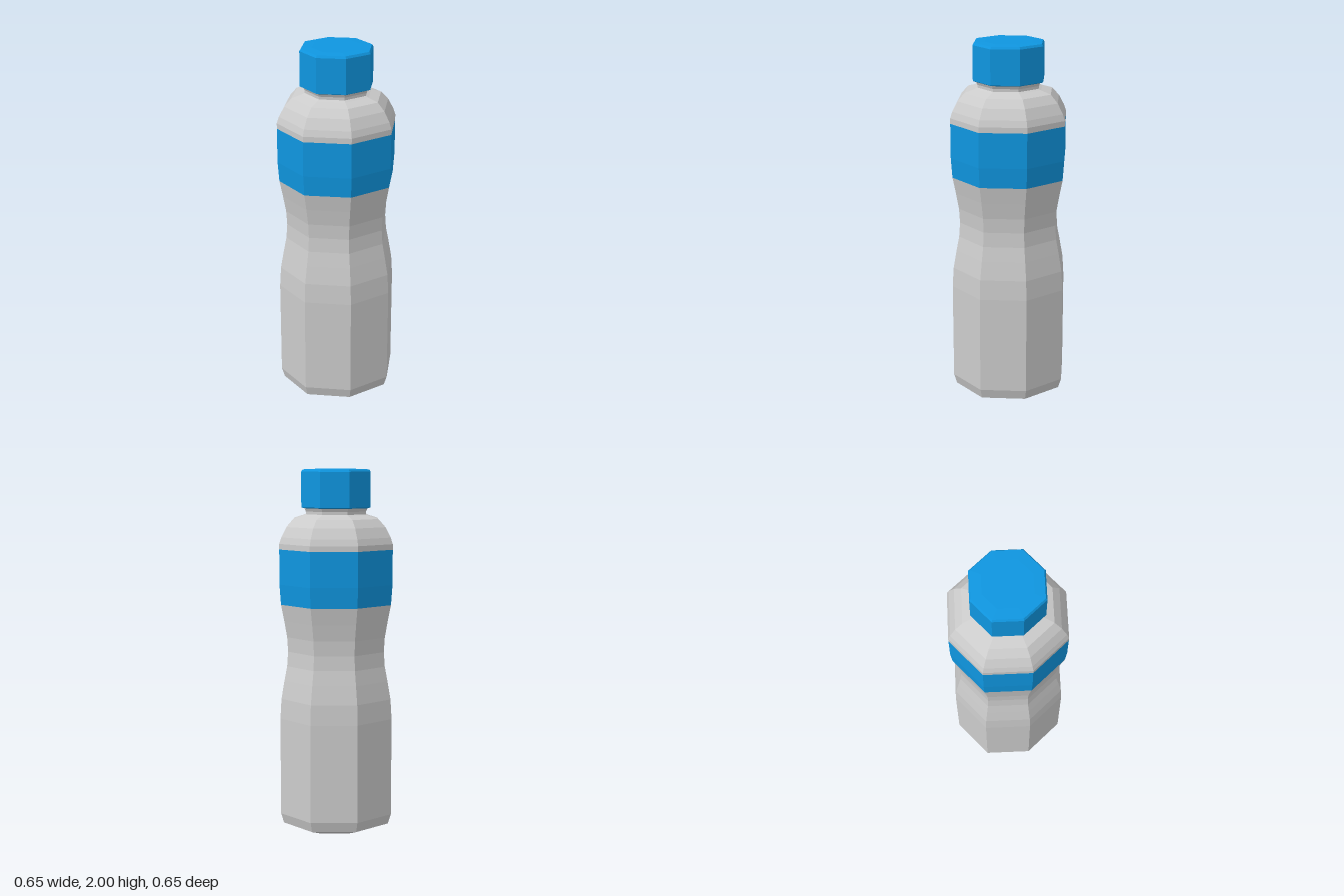
import * as THREE from 'three';

const SIDES = 8;

// Eight-sided turned part from [radius, y] points running bottom to top.
// Corners between the axes sit slightly further out than those on the axes.
function turned(name, profile, color) {
  const points = profile.map(([r, y]) => new THREE.Vector2(r, y));
  const geometry = new THREE.LatheGeometry(points, SIDES).toNonIndexed();
  const pos = geometry.attributes.position;
  for (let i = 0; i < pos.count; i++) {
    const x = pos.getX(i), z = pos.getZ(i);
    const diagonal = Math.abs(x) > 1e-4 && Math.abs(z) > 1e-4;
    const k = diagonal ? 1.025 : 1;
    pos.setXYZ(i, x * k, pos.getY(i), z * k);
  }
  geometry.computeVertexNormals();
  const material = new THREE.MeshStandardMaterial({ color, flatShading: true });
  const mesh = new THREE.Mesh(geometry, material);
  mesh.name = name;
  return mesh;
}

export function createModel() {
  const grey = 0xcccccc, blue = 0x0f96e0;
  const bottle = new THREE.Group();
  bottle.name = 'bottle';

  // Base, straight lower wall and waisted grip
  bottle.add(turned('lowerBody', [
    [0, 0], [0.22, 0.012], [0.31, 0.045], [0.327, 0.1], [0.327, 0.64],
    [0.32, 0.75], [0.302, 0.85], [0.286, 0.93], [0.28, 1.01],
    [0.285, 1.09], [0.301, 1.18], [0.319, 1.27],
  ], grey));

  // Coloured band around the upper body
  bottle.add(turned('labelBand', [
    [0.319, 1.27], [0.327, 1.38], [0.327, 1.57],
  ], blue));

  // Rounded shoulder narrowing to the neck, which ends inside the cap
  bottle.add(turned('shoulderAndNeck', [
    [0.327, 1.57], [0.327, 1.6], [0.315, 1.635], [0.285, 1.69], [0.245, 1.733],
    [0.19, 1.75], [0.174, 1.757], [0.174, 1.772], [0.183, 1.79], [0.183, 1.82],
  ], grey));

  // Screw cap with a small bevel at the top
  bottle.add(turned('cap', [
    [0, 1.79], [0.19, 1.79], [0.2, 1.795], [0.2, 1.985],
    [0.192, 1.997], [0.135, 2], [0, 2],
  ], blue));

  return bottle;
}
